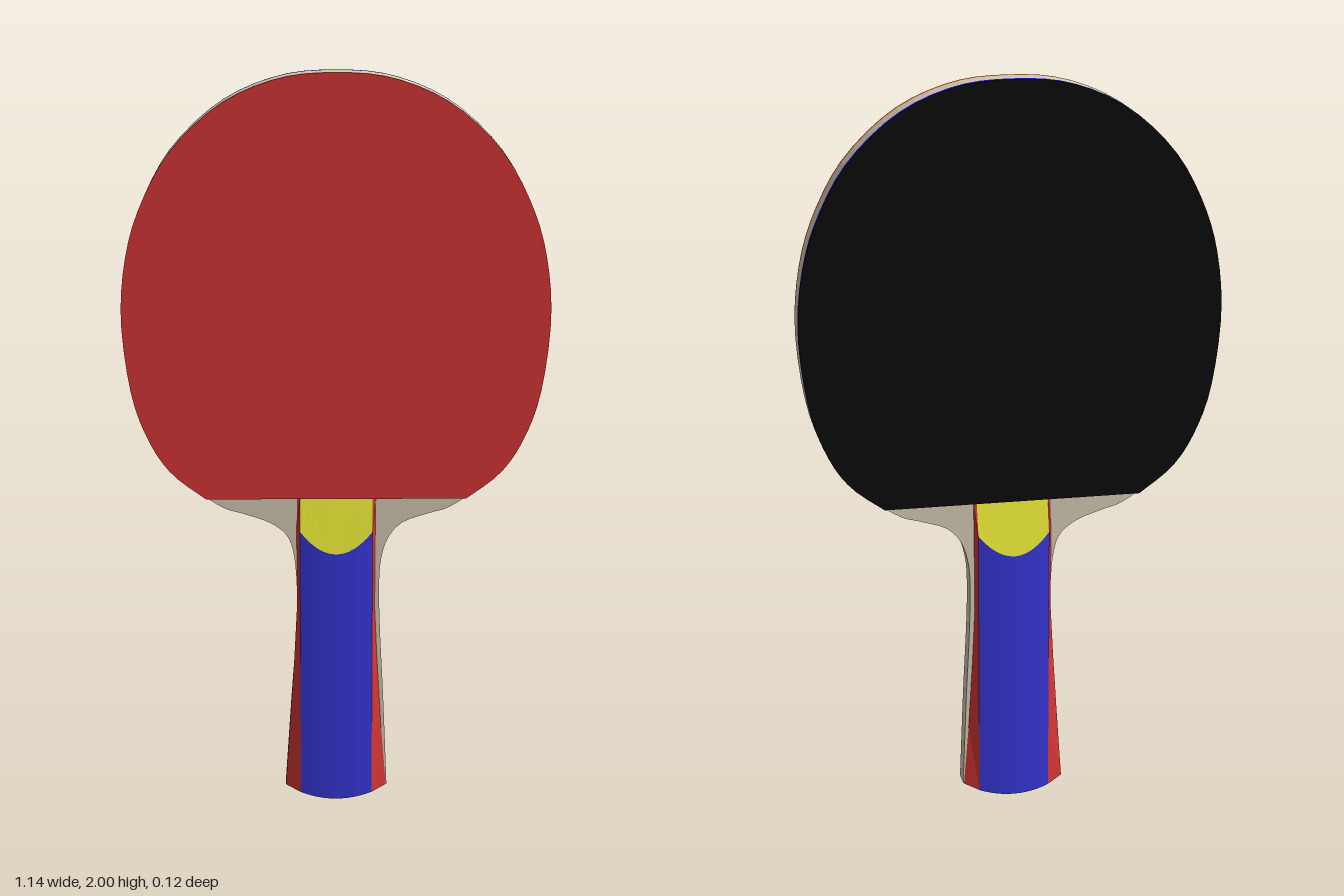
import * as THREE from 'three';

const mat = (name, color) => {
  const m = new THREE.MeshStandardMaterial({ color });
  m.name = name;
  return m;
};

// Right half of the blade edge, from the straight lower cut up to the tip
const edge = [[0.35, 0.86], [0.44, 0.93], [0.5, 1.02], [0.545, 1.15], [0.568, 1.35],
  [0.553, 1.52], [0.51, 1.66], [0.43, 1.8], [0.3, 1.92], [0.15, 1.985]];
// Neck and grip edges, from the foot up to the blade
const neckRight = [[0.14, 0.03], [0.13, 0.28], [0.12, 0.48], [0.117, 0.6], [0.121, 0.68],
  [0.14, 0.745], [0.18, 0.79], [0.25, 0.815], [0.3, 0.83], [0.35, 0.86]];
const neckLeft = [[-0.14, 0.03], [-0.123, 0.28], [-0.108, 0.48], [-0.107, 0.6], [-0.115, 0.7],
  [-0.135, 0.755], [-0.18, 0.79], [-0.25, 0.815], [-0.3, 0.83], [-0.35, 0.86]];

const curve = (pts, n) => new THREE.SplineCurve(pts.map(p => new THREE.Vector2(...p))).getPoints(n);
const footY = x => 0.03 * (x / 0.14) ** 2;

// Grip cross-sections: left and right edge, height and dome fullness
const HALF = 0.098, BASE = 0.025;
const sections = [
  { l: -0.14, r: 0.138, y: footY, k: 1, cap: true },
  { l: -0.14, r: 0.138, y: footY, k: 1 },
  { l: -0.128, r: 0.124, y: () => 0.2, k: 1 },
  { l: -0.115, r: 0.112, y: () => 0.4, k: 1 },
  { l: -0.107, r: 0.105, y: () => 0.55, k: 1 },
  { l: -0.107, r: 0.106, y: x => 0.71 + 0.06 * (x / HALF) ** 2, k: 1 },
  { l: -0.105, r: 0.107, y: () => 0.86, k: 0.08 },
];

// Lofted strip of the grip; cols gives x for a section, rows a range of sections
function strip(cols, from, to, side) {
  const pos = [];
  const grid = sections.slice(from, to + 1).map(s => cols(s).map(x => {
    const outer = Math.abs(x) > HALF + 1e-6;
    const dome = outer ? 0.002 : 0.035 - 0.012 * (x / HALF) ** 2;
    return [x, s.y(x), side * (BASE + (s.cap ? 0 : dome * s.k))];
  }));
  for (let j = 0; j < grid.length - 1; j++) {
    for (let i = 0; i < grid[j].length - 1; i++) {
      const a = grid[j][i], b = grid[j][i + 1], c = grid[j + 1][i + 1], d = grid[j + 1][i];
      const quad = side > 0 ? [a, b, c, a, c, d] : [a, c, b, a, d, c];
      quad.forEach(p => pos.push(...p));
    }
  }
  const g = new THREE.BufferGeometry();
  g.setAttribute('position', new THREE.Float32BufferAttribute(pos, 3));
  g.computeVertexNormals();
  return g;
}

export function createModel() {
  const model = new THREE.Group();
  model.name = 'tableTennisBat';
  const wood = mat('wood', 0xd4c9b2), red = mat('red', 0xd83636), blue = mat('blue', 0x3636d8);
  const yellow = mat('yellow', 0xe4e436), black = mat('black', 0x0a0a0a);
  const orange = mat('orangeSponge', 0xe08a3c), deepBlue = mat('blueSponge', 0x1010e0);

  const add = (parent, name, geometry, material) => {
    const m = new THREE.Mesh(geometry, material);
    m.name = name;
    parent.add(m);
  };
  const slab = (pts, z0, z1) => new THREE.ExtrudeGeometry(new THREE.Shape(pts),
    { depth: z1 - z0, bevelEnabled: false }).translate(0, 0, z0);

  // Wooden blade with neck and tang
  const mirrored = edge.map(([x, y]) => [-x, y]).reverse();
  const bladeEdge = curve([...edge, [0, 2], ...mirrored], 72);
  const foot = [];
  for (let i = 1; i < 10; i++) {
    const x = -0.14 + 0.028 * i;
    foot.push(new THREE.Vector2(x, footY(x)));
  }
  const outline = [...curve(neckRight, 30), ...bladeEdge.slice(1),
    ...curve(neckLeft, 30).reverse().slice(1), ...foot];
  add(model, 'blade', slab(outline, -BASE, BASE), wood);

  // Sponge layers and rubber sheets
  add(model, 'frontSponge', slab(bladeEdge, BASE, 0.033), orange);
  add(model, 'frontRubber', slab(bladeEdge, 0.033, 0.039), red);
  add(model, 'backSponge', slab(bladeEdge, -0.037, -BASE), deepBlue);
  add(model, 'backRubber', slab(bladeEdge, -0.04, -0.037), black);

  // Domed grip scales, one on each face
  const centre = () => Array.from({ length: 13 }, (_, i) => HALF * (i / 6 - 1));
  for (const side of [1, -1]) {
    const scale = new THREE.Group();
    scale.name = side > 0 ? 'frontGrip' : 'backGrip';
    add(scale, 'gripPanel', strip(centre, 0, 5, side), blue);
    add(scale, 'gripShoulder', strip(centre, 5, 6, side), yellow);
    add(scale, 'rightGripBevel', strip(s => [s.l, -HALF], 0, 6, side), red);
    add(scale, 'leftGripBevel', strip(s => [HALF, s.r], 0, 6, side), red);
    model.add(scale);
  }
  return model;
}
